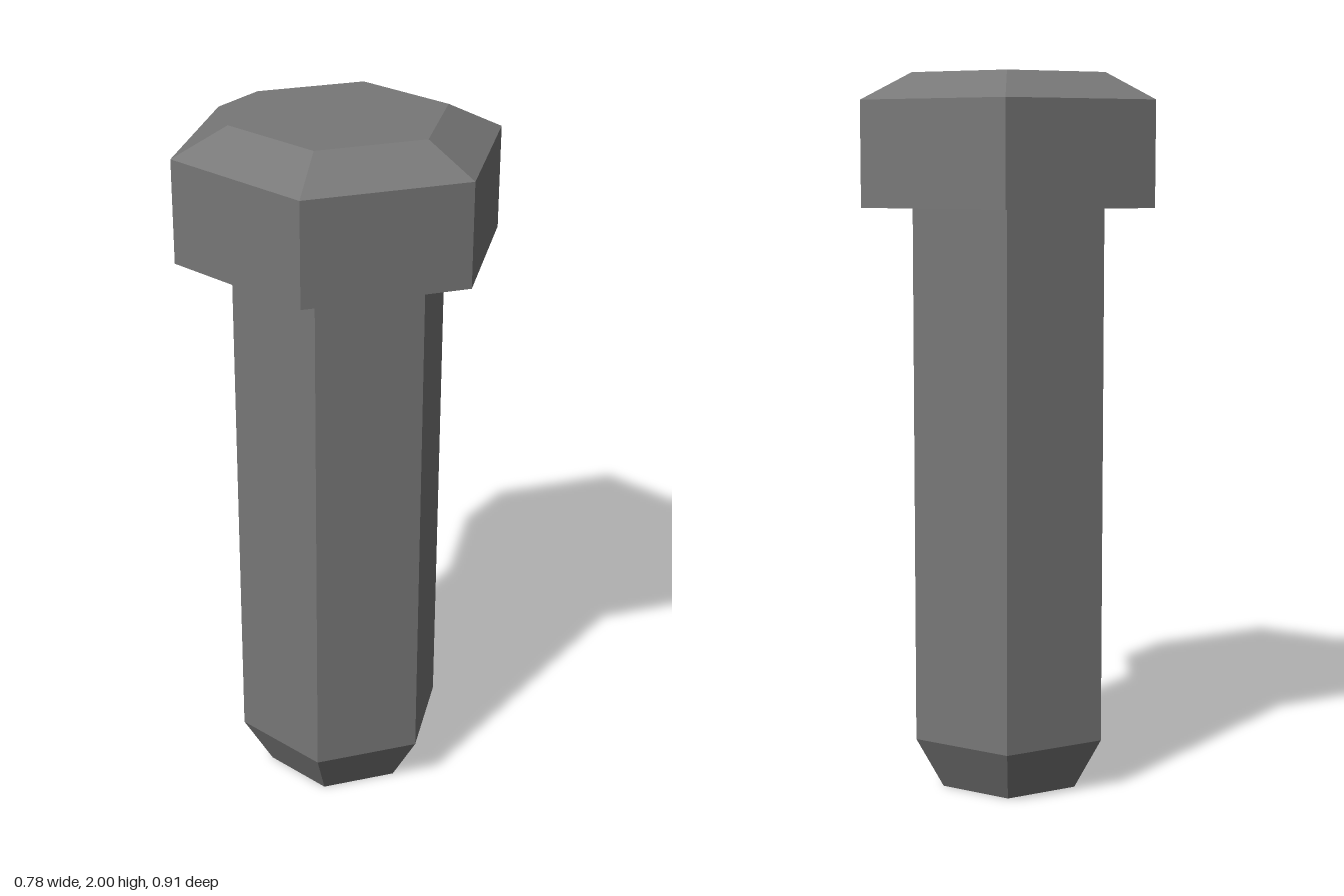
import * as THREE from 'three';

// Six-sided solid turned from a [radius, height] profile, listed bottom to top
function hexTurned(name, profile, material) {
  const points = profile.map(([r, y]) => new THREE.Vector2(r, y));
  const mesh = new THREE.Mesh(new THREE.LatheGeometry(points, 6), material);
  mesh.name = name;
  return mesh;
}

export function createModel() {
  const group = new THREE.Group();
  group.name = 'hexBolt';

  const steel = new THREE.MeshStandardMaterial({ color: 0x777777 });
  steel.name = 'dark steel grey';
  steel.flatShading = true;

  // Shank with a tapered tip, open where it meets the head
  group.add(hexTurned('shank', [[0, 0], [0.215, 0], [0.3, 0.15], [0.3, 1.64]], steel));

  // Head: underside ring, straight sides, chamfer and flat top
  group.add(hexTurned('head', [[0.3, 1.64], [0.453, 1.64], [0.453, 1.925], [0.3, 2], [0, 2]], steel));

  return group;
}
